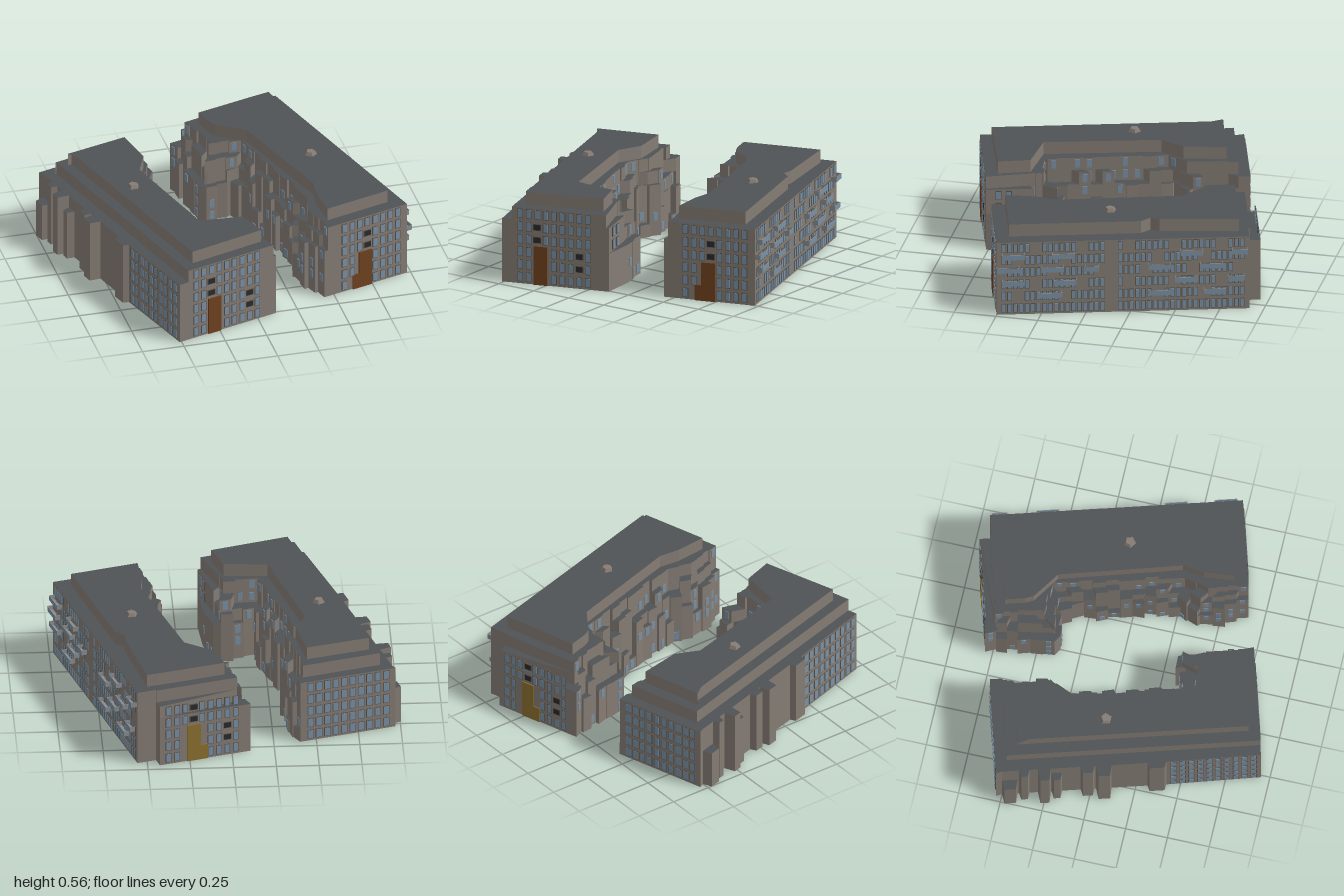
import * as THREE from 'three';
import { mergeGeometries } from 'three/addons/utils/BufferGeometryUtils.js';

const FLOOR = 0.077;
const mat = (color) => new THREE.MeshStandardMaterial({ color, side: THREE.DoubleSide, flatShading: true });
const materials = {
  wall: mat(0x857c74), roof: mat(0x505355), frame: mat(0x5f574f), glass: mat(0x7891a6),
  dark: mat(0x2c2a2a), brown: mat(0x6f421f), ochre: mat(0x8c7230), rail: mat(0x8a8c8e),
};

// Small seeded generator
let seed = 7;
const rnd = (a = 0, b = 1) => {
  seed = (seed * 16807) % 2147483647;
  return a + (b - a) * (seed / 2147483647);
};

// Geometry is gathered by part name and merged at the end
let parts = {};
function add(name, material, geometry) {
  (parts[name] ??= { material, list: [] }).list.push(geometry);
}
function box(name, material, [x, y, z], [w, h, d], yaw = 0) {
  add(name, material, new THREE.BoxGeometry(w, h, d).rotateY(yaw).translate(x, y, z));
}

// Edge from p to q: length, heading and a point along it, moved outwards by off
function edge(p, q) {
  const dx = q[0] - p[0], dz = q[1] - p[1], len = Math.hypot(dx, dz);
  return {
    len, yaw: Math.atan2(-dz, dx),
    at: (s, off = 0) => [p[0] + (dx * s + dz * off) / len, p[1] + (dz * s - dx * off) / len],
  };
}

// Horizontal roof surface
function flat(name, points, y) {
  const outline = points.map(([x, z]) => new THREE.Vector2(x, -z));
  if (Math.abs(THREE.ShapeUtils.area(outline)) < 1e-6) return;
  add(name, 'roof', new THREE.ShapeGeometry(new THREE.Shape(outline)).rotateX(-Math.PI / 2).translate(0, y, 0));
}

// Shell of seven floors: walls under each outline, ledges where the next floor steps back
function shell(outlineAt) {
  for (let r = 0; r < 7; r++) {
    const low = outlineAt(r), next = r < 6 && outlineAt(r + 1), y = (r + 1) * FLOOR;
    low.forEach((p, i) => {
      const j = (i + 1) % low.length, e = edge(low[j], p);
      if (e.len > 1e-4) {
        const [x, z] = e.at(e.len / 2);
        add('walls', 'wall', new THREE.PlaneGeometry(e.len, FLOOR).rotateY(e.yaw).translate(x, y - FLOOR / 2, z));
      }
      if (next) flat('terraces', [p, low[j], next[j], next[i]], y);
    });
    if (!next) flat('roof', low, y);
  }
}

// Columns of the courtyard side: span on the path, reach and height of the low bay,
// and the number of floors before the wall steps back
function courtColumns(path, wing) {
  const columns = [];
  for (let i = 0; i < path.length - 1; i++) {
    const n = Math.max(1, Math.round(edge(path[i], path[i + 1]).len / 0.068));
    for (let k = 0; k < n; k++) {
      columns.push({
        i, t0: k / n, t1: (k + 1) / n, skew: rnd(-0.01, 0.01), jitter: rnd(-0.018, 0.006),
        out: i === wing ? 0.035 : rnd(0.005, 0.04),
        low: i === wing ? 3 : Math.floor(rnd(0.5, 5)),
        base: Math.floor(rnd(4.25, 5.6)),
      });
    }
  }
  return columns;
}

// Courtyard points on floor r; paths are those of the base, upper and top floors
function courtPoints(paths, columns, r) {
  return columns.flatMap((c) => {
    const path = paths[r < c.base ? 0 : r < 6 ? 1 : 2], e = edge(path[c.i], path[c.i + 1]);
    const off = r < c.low ? c.out : r < 6 ? c.jitter : 0, skew = r < c.low ? c.skew : 0;
    return [e.at(e.len * c.t0, off + skew), e.at(e.len * c.t1, off - skew)];
  });
}

// Scattered panes on the courtyard walls
function courtWindows(paths, columns) {
  for (let r = 0; r < 6; r++) {
    const points = courtPoints(paths, columns, r);
    for (let i = 0; i < points.length; i += 2) {
      const e = edge(points[i], points[i + 1]), [x, z] = e.at(e.len / 2);
      if (rnd() < 0.25) box('windowPanes', 'glass', [x, (r + 0.53) * FLOOR, z], [0.028, 0.05, 0.008], e.yaw);
    }
  }
}

// Grid of framed windows; skip(s, row) leaves a gap, loggia(s, row) makes it dark
function windows(p, q, { rows = 6, pitch = 0.052, w = 0.027, skip = () => false, loggia = () => false }) {
  const e = edge(p, q), n = Math.floor((e.len - 0.03) / pitch);
  for (let r = 0; r < rows; r++) {
    for (let i = 0; i < n; i++) {
      const s = e.len / 2 + (i - (n - 1) / 2) * pitch;
      if (skip(s, r)) continue;
      const dark = loggia(s, r), [ww, hh] = dark ? [0.042, 0.032] : [w, 0.05];
      const [x, z] = e.at(s), y = (r + 0.53) * FLOOR;
      box('windowFrames', 'frame', [x, y, z], [ww + 0.008, hh + 0.008, 0.006], e.yaw);
      box(dark ? 'loggias' : 'windowPanes', dark ? 'dark' : 'glass', [x, y, z], [ww, hh, 0.01], e.yaw);
    }
  }
}

// Entrance, three storeys high, with an optional lower side piece
function entrance(name, color, x, z, side) {
  box(name, color, [x, 0.117, z], [0.085, 0.234, 0.014]);
  if (side) box(name, color, [x + side * 0.06, 0.047, z], [0.05, 0.094, 0.014]);
}

// Balcony: slab, glazed front, sides and top rail
function balcony(x, z, y, len) {
  const d = 0.034;
  box('balconySlabs', 'rail', [x + d / 2, y - 0.014, z], [d, 0.005, len]);
  box('balconyGlass', 'glass', [x + d, y, z], [0.002, 0.028, len]);
  box('balconyRails', 'rail', [x + d, y + 0.014, z], [0.004, 0.004, len]);
  for (const s of [-1, 1]) box('balconySides', 'rail', [x + d / 2, y, z + s * len / 2], [d, 0.03, 0.003]);
}

function roofVent(x, z, turn) {
  add('roofVent', 'wall', new THREE.CylinderGeometry(0.026, 0.038, 0.02, 5)
    .rotateY(turn).translate(x, 7 * FLOOR + 0.01, z));
}

function finish(name) {
  const group = new THREE.Group();
  group.name = name;
  for (const [part, { material, list }] of Object.entries(parts)) {
    const mesh = new THREE.Mesh(mergeGeometries(list), materials[material]);
    mesh.name = part;
    group.add(mesh);
  }
  parts = {};
  return group;
}

function leftBuilding() {
  const court = [
    [[-0.195, -0.785], [-0.21, -0.45], [-0.305, -0.34], [-0.305, 0.345], [-0.09, 0.35], [-0.09, 0.55]],
    [[-0.235, -0.72], [-0.26, -0.42], [-0.345, -0.31], [-0.345, 0.39], [-0.14, 0.43], [-0.13, 0.55]],
    [[-0.278, -0.65], [-0.3, -0.4], [-0.4, -0.28], [-0.41, 0.41], [-0.17, 0.5], [-0.165, 0.6]],
  ];
  const columns = courtColumns(court[0], 4);
  // Slanted bays on the outer side: reach, front end, back end, floors
  const bays = [[0.805, 0.21, 0.1, 5], [0.835, -0.11, -0.2, 5], [0.81, -0.21, -0.29, 5], [0.815, -0.4, -0.46, 4],
    [0.84, -0.465, -0.54, 5], [0.81, -0.59, -0.65, 5], [0.828, -0.66, -0.75, 3]];
  // Back left, front right and front left corners of the base, upper and top floors
  const corners = [
    [[-0.778, -0.785], [-0.103, 0.764], [-0.76, 0.764]],
    [[-0.705, -0.72], [-0.12, 0.764], [-0.7, 0.764]],
    [[-0.66, -0.655], [-0.16, 0.69], [-0.635, 0.7]],
  ];
  shell((r) => {
    const [back, right, left] = corners[Math.max(0, r - 4)];
    const outer = bays.flatMap(([reach, z1, z0, floors]) => {
      const wall = r < 5 ? -0.77 : left[0], x = r < floors ? -reach : wall, lim = (z) => Math.max(z, back[1]);
      return [[wall, lim(z1)], [x, lim(z1 - 0.012)], [x, lim(z0 + 0.01)], [wall, lim(z0)]];
    });
    return [back, ...courtPoints(court, columns, r), right, left, ...outer];
  });
  courtWindows(court, columns);
  // Front, back and outer side
  windows([-0.7, 0.764], [-0.18, 0.764], {
    skip: (s, r) => r < 3 && Math.abs(s - 0.177) < 0.06,
    loggia: (s, r) => (r > 2 && r < 5 && Math.abs(s - 0.16) < 0.026) || (r > 0 && r < 3 && Math.abs(s - 0.4) < 0.026),
  });
  entrance('frontEntrance', 'brown', -0.523, 0.764, 0);
  windows([-0.765, -0.785], [-0.21, -0.785], { rows: 5, w: 0.032 });
  windows([-0.76, 0.764], [-0.77, 0.21], { rows: 5, w: 0.03 });
  windows([-0.091, 0.56], [-0.103, 0.764], { rows: 5, pitch: 0.06 });
  roofVent(-0.535, -0.13, 0.3);
  return finish('leftBuilding');
}

function rightBuilding() {
  const court = [
    [[0.225, 0.755], [0.225, 0.47], [0.305, 0.36], [0.305, -0.345], [0.11, -0.385], [0.135, -0.6], [0.15, -0.79]],
    [[0.25, 0.755], [0.26, 0.52], [0.34, 0.39], [0.34, -0.38], [0.17, -0.44], [0.185, -0.6], [0.185, -0.73]],
    [[0.3, 0.68], [0.335, 0.5], [0.385, 0.38], [0.375, -0.35], [0.25, -0.5], [0.24, -0.55], [0.24, -0.67]],
  ];
  const columns = courtColumns(court[0], 4);
  // Back, outer side and front corners of the base, upper and top floors
  const side = [[0.795, -0.72], [0.795, -0.2], [0.795, -0.15], [0.795, -0.09], [0.795, 0.758]];
  const corners = [
    [[0.68, -0.79], [0.68, -0.72], ...side],
    [[0.68, -0.73], [0.68, -0.72], ...side],
    [[0.6, -0.667], [0.65, -0.666], [0.715, -0.664], [0.69, -0.2], [0.665, -0.15], [0.71, -0.09], [0.71, 0.68]],
  ];
  shell((r) => [...corners[Math.max(0, r - 4)], ...courtPoints(court, columns, r)]);
  courtWindows(court, columns);
  // Front
  windows([0.32, 0.758], [0.78, 0.758], {
    skip: (s, r) => (r < 3 && Math.abs(s - 0.19) < 0.06) || (r < 1 && Math.abs(s - 0.13) < 0.05),
    loggia: (s, r) => r > 2 && r < 5 && Math.abs(s - 0.2) < 0.026,
  });
  entrance('frontEntrance', 'brown', 0.509, 0.758, -1);
  // Back
  windows([0.16, -0.79], [0.68, -0.79], {
    rows: 5,
    skip: (s, r) => r < 3 && Math.abs(s - 0.3) < 0.075,
    loggia: (s, r) => (r > 2 && Math.abs(s - 0.31) < 0.026) || (r > 0 && r < 3 && Math.abs(s - 0.13) < 0.026),
  });
  entrance('backEntrance', 'ochre', 0.47, -0.79, -1);
  // Outer side with narrow windows and balconies
  windows([0.795, -0.72], [0.795, 0.758], {
    pitch: 0.034, w: 0.02,
    skip: (s, r) => (r > 0 && Math.sin(s * 23 + r * 2.1) > 0.75) || Math.abs(s - 0.8) < 0.04,
  });
  const balconies = [[0.13, [0.2, -0.41, -0.72]], [0.21, [0.41, 0.12, -0.56, -0.84]],
    [0.295, [0.44, 0.19, -0.41, -0.7]], [0.38, [0.41, 0.13, -0.59, -0.86]]];
  for (const [y, row] of balconies) for (const z of row) balcony(0.795, (z + 0.224) / 0.959, y, z < -0.8 ? 0.09 : 0.13);
  balcony(0.795, 0.2, 0.295, 0.075);
  roofVent(0.55, 0.08, 1);
  return finish('rightBuilding');
}

export function createModel() {
  seed = 7;
  const model = new THREE.Group();
  model.name = 'apartmentBlocks';
  model.rotation.y = THREE.MathUtils.degToRad(16.5);
  model.add(leftBuilding(), rightBuilding());
  const root = new THREE.Group();
  root.name = 'apartmentSite';
  return root.add(model);
}
